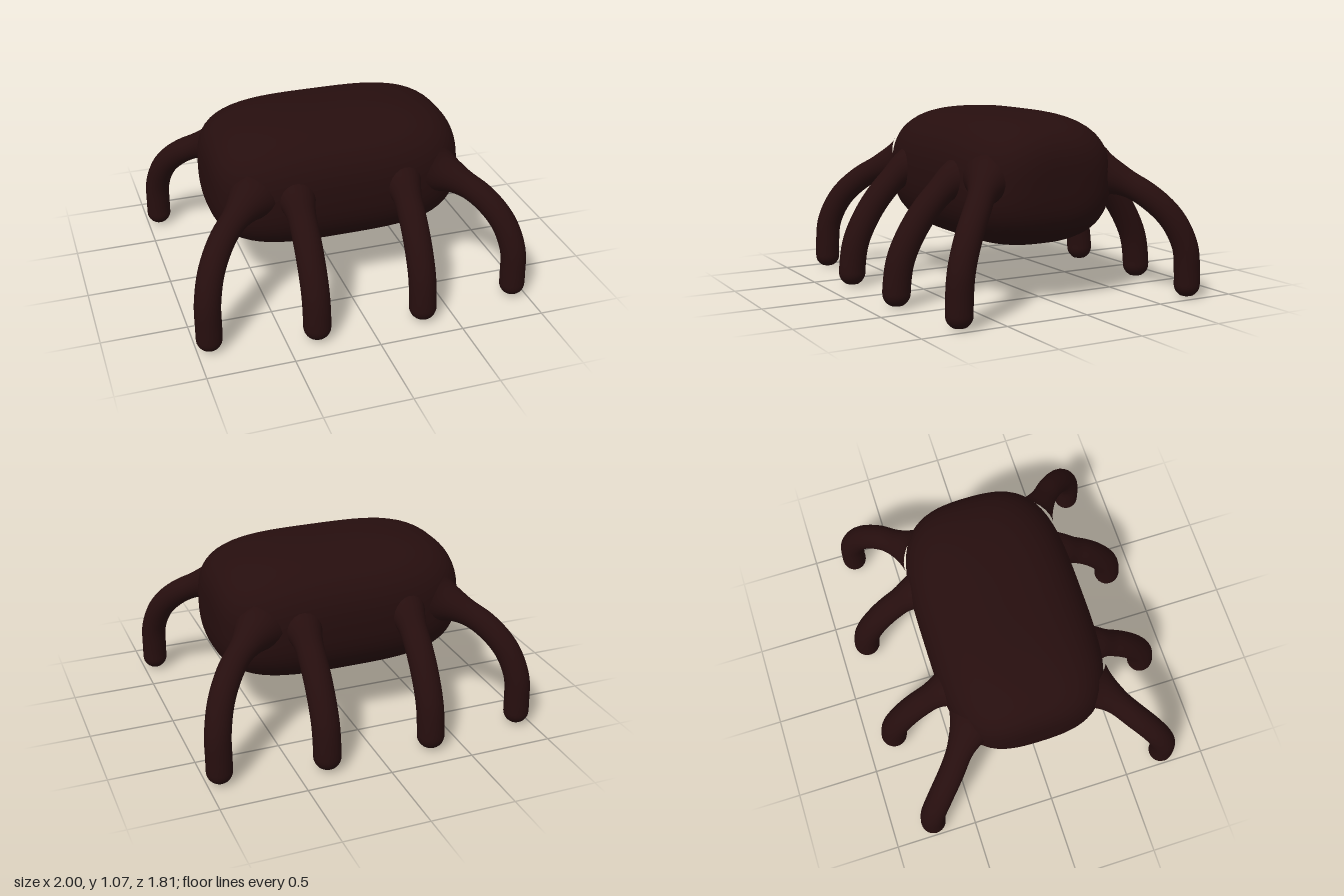
import * as THREE from 'three';
import { mergeVertices } from 'three/addons/utils/BufferGeometryUtils.js';

// Pillow-shaped body: a sphere pushed out to a superellipsoid
function bodyGeometry() {
  let g = new THREE.SphereGeometry(1, 72, 48);
  g.rotateZ(Math.PI / 2);
  g.deleteAttribute('uv');
  g.deleteAttribute('normal');
  g = mergeVertices(g, 1e-4);
  const p = g.attributes.position;
  const n = 3.5, m = 2.6;
  for (let i = 0; i < p.count; i++) {
    const x = p.getX(i), y = p.getY(i), z = p.getZ(i);
    const ring = Math.pow(Math.abs(y) ** m + Math.abs(z) ** m, 1 / m);
    const k = Math.pow(Math.abs(x) ** n + ring ** n, -1 / n);
    p.setXYZ(i, x * k * 0.76, 0.677 + y * k * 0.393, z * k * 0.495);
  }
  g.computeVertexNormals();
  return g;
}

// Curved leg: flared where it leaves the body, rounded at the foot
function legGeometry(points, radius, flareLength) {
  const curve = new THREE.CatmullRomCurve3(points);
  const length = curve.getLength();
  const rings = 90, sides = 24;
  const frames = curve.computeFrenetFrames(rings, false);
  const pos = [], index = [];
  for (let i = 0; i <= rings; i++) {
    const s = (i / rings) * length;
    const c = curve.getPointAt(i / rings);
    const root = Math.max(0, 1 - s / flareLength);
    const tip = Math.max(0, (s - (length - radius)) / radius);
    const r = (radius + 0.08 * root * root) * Math.sqrt(Math.max(0, 1 - tip * tip));
    for (let j = 0; j < sides; j++) {
      const a = (j / sides) * Math.PI * 2;
      const v = c.clone()
        .addScaledVector(frames.normals[i], Math.cos(a) * r)
        .addScaledVector(frames.binormals[i], Math.sin(a) * r);
      pos.push(v.x, v.y, v.z);
      if (i < rings) {
        const k = i * sides, j2 = (j + 1) % sides;
        index.push(k + j, k + j2, k + sides + j, k + j2, k + sides + j2, k + sides + j);
      }
    }
  }
  const g = new THREE.BufferGeometry();
  g.setAttribute('position', new THREE.Float32BufferAttribute(pos, 3));
  g.setIndex(index);
  g.computeVertexNormals();
  return g;
}

export function createModel() {
  const model = new THREE.Group();
  const skin = new THREE.MeshStandardMaterial({ color: 0x260e0e });
  skin.name = 'dark brown';

  const add = (name, geometry) => {
    const mesh = new THREE.Mesh(geometry, skin);
    mesh.name = name;
    model.add(mesh);
  };

  add('body', bodyGeometry());

  // Leg centre lines for the positive x, positive z quarter
  const middlePath = [
    [0.32, 0.71, 0.38], [0.32, 0.68, 0.48], [0.32, 0.58, 0.6], [0.32, 0.44, 0.71],
    [0.32, 0.27, 0.795], [0.32, 0.12, 0.822], [0.32, 0, 0.825],
  ];
  const cornerPath = [
    [0.56, 0.71, 0.36], [0.66, 0.67, 0.455], [0.78, 0.59, 0.56], [0.875, 0.46, 0.665],
    [0.92, 0.3, 0.73], [0.925, 0.14, 0.745], [0.925, 0, 0.745],
  ];

  for (const sx of [1, -1]) {
    for (const sz of [1, -1]) {
      const place = (path) => path.map(([x, y, z]) => new THREE.Vector3(x * sx, y, z * sz));
      const label = (sz > 0 ? 'front' : 'back') + (sx > 0 ? 'Left' : 'Right');
      add(label + 'MiddleLeg', legGeometry(place(middlePath), 0.08, 0.22));
      add(label + 'CornerLeg', legGeometry(place(cornerPath), 0.075, 0.25));
    }
  }
  return model;
}
